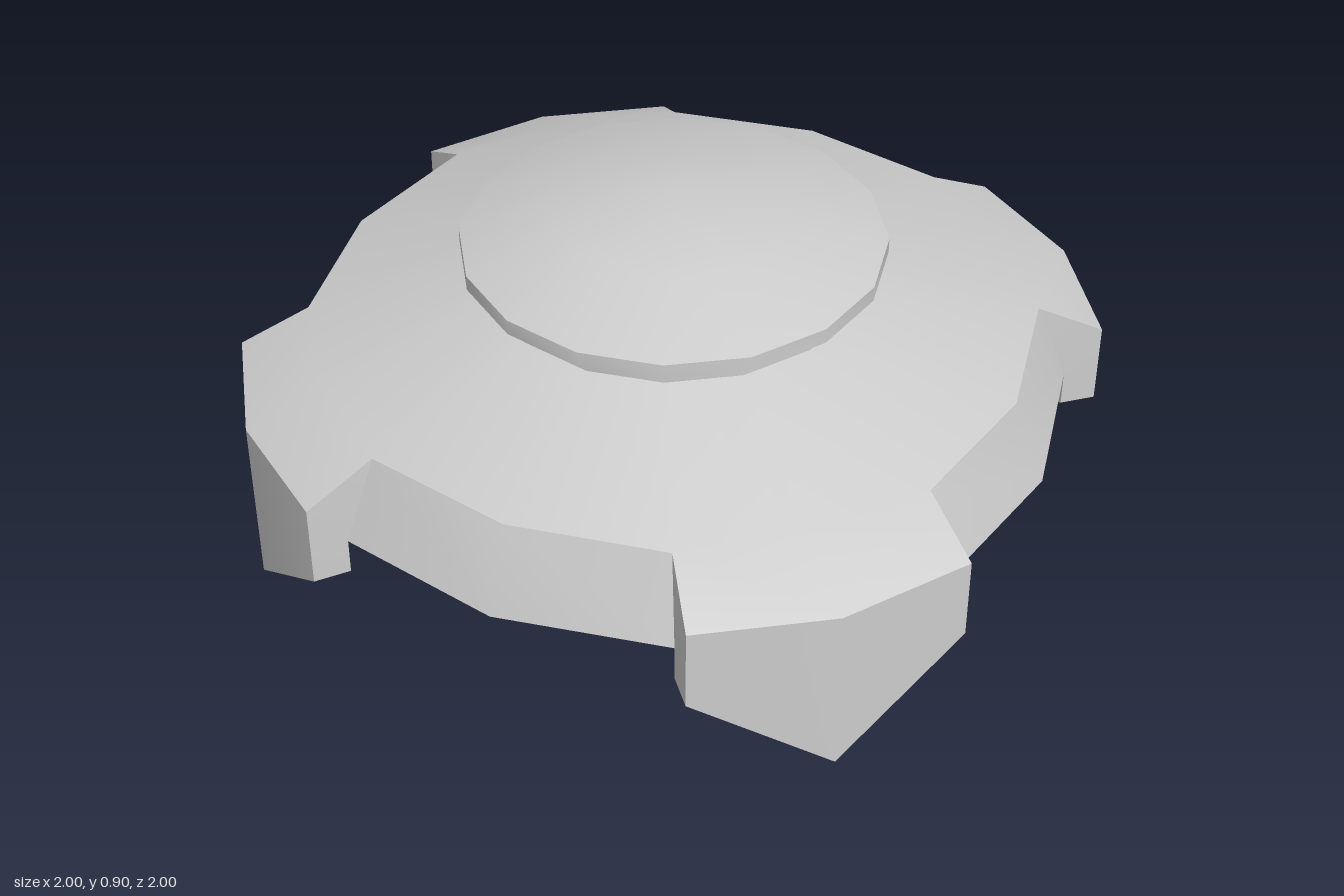
import * as THREE from 'three';
import { toCreasedNormals } from 'three/addons/utils/BufferGeometryUtils.js';

const SIDES = 16;
const CREASE = Math.PI / 6;
const material = new THREE.MeshStandardMaterial({ color: 0xcccccc });

// One ring of the hull: four-fold symmetric, given as [radius, angle in degrees, y]
// for the middle of a side, the edge of a leg and the corner of a leg.
function ring(middle, edge, corner) {
  return Array.from({ length: SIDES }, (_, k) => {
    const step = k % 4;
    const [r, offset, y] = [middle, edge, corner, edge][step];
    const degrees = Math.floor(k / 4) * 90 + (step === 3 ? 90 - offset : offset);
    const a = THREE.MathUtils.degToRad(degrees);
    return [r * Math.sin(a), y, r * Math.cos(a)];
  });
}
const evenRing = (r, y) => ring([r, 0, y], [r, 22.5, y], [r, 45, y]);

function hullGeometry() {
  const shoulder = evenRing(0.45, 0.70);
  const rimTop = ring([0.915, 0, 0.55], [0.926, 24.9, 0.55], [0.915, 45, 0.55]);
  const rim = ring([1, 0, 0.335], [1.01, 25.2, 0.335], [1.01, 45, 0.335]);
  const belly = evenRing(0.85, 0.29);
  const centre = evenRing(0, 0.29);
  // Rings used only where a leg stands
  const legTop = ring([1, 0, 0], [1.1, 26.5, 0.46], [1.11, 45, 0.46]);
  const legFoot = ring([1, 0, 0], [1.1, 26.5, 0.24], [1.11, 45, 0]);
  const legInner = ring([1, 0, 0], [1.01, 25.2, 0.24], [1.01, 45, 0]);

  const positions = [];
  const tri = (...corners) => corners.forEach((p) => positions.push(...p));
  const strip = (rings, k) => {
    const n = (k + 1) % SIDES;
    for (let i = 0; i < rings.length - 1; i++) {
      const [up, low] = [rings[i], rings[i + 1]];
      tri(up[k], low[k], low[n]);
      if (low !== rim || up !== rim) tri(up[k], low[n], up[n]);
    }
  };

  const legRings = [rimTop, legTop, legFoot, legInner, rim];
  for (let k = 0; k < SIDES; k++) {
    const onLeg = k % 4 === 1 || k % 4 === 2;
    strip([shoulder, rimTop], k);
    strip(onLeg ? legRings : [rimTop, rim], k);
    strip([rim, belly, centre], k);

    // Flat end faces of the legs
    if (k % 2 === 1) {
      const [b, p, q, r, c] = legRings.map((points) => points[k]);
      const fan = [[c, r, q], [c, q, p], [c, p, b]];
      fan.forEach((f) => tri(...(k % 4 === 1 ? f : f.reverse())));
    }
  }
  const geometry = new THREE.BufferGeometry();
  geometry.setAttribute('position', new THREE.Float32BufferAttribute(positions, 3));
  return geometry;
}

function latheGeometry(profile) {
  return new THREE.LatheGeometry(profile.map(([r, y]) => new THREE.Vector2(r, y)), SIDES);
}

export function createModel() {
  const group = new THREE.Group();
  group.name = 'domedSaucer';
  const add = (name, geometry) => {
    const mesh = new THREE.Mesh(toCreasedNormals(geometry, CREASE), material);
    mesh.name = name;
    group.add(mesh);
  };

  // Sloping hull with its four pointed corner legs
  add('hullWithLegs', hullGeometry());
  // Short neck under the cap
  add('neck', latheGeometry([[0.485, 0.69], [0.485, 0.745]]));
  // Shallow domed cap
  add('domedCap', latheGeometry([[0, 0.74], [0.535, 0.74], [0.535, 0.78], [0.3, 0.86], [0, 0.9]]));
  // Closes the small ledge below the neck
  add('neckBase', latheGeometry([[0, 0.69], [0.485, 0.69], [0.485, 0.7], [0, 0.7]]));
  return group;
}
